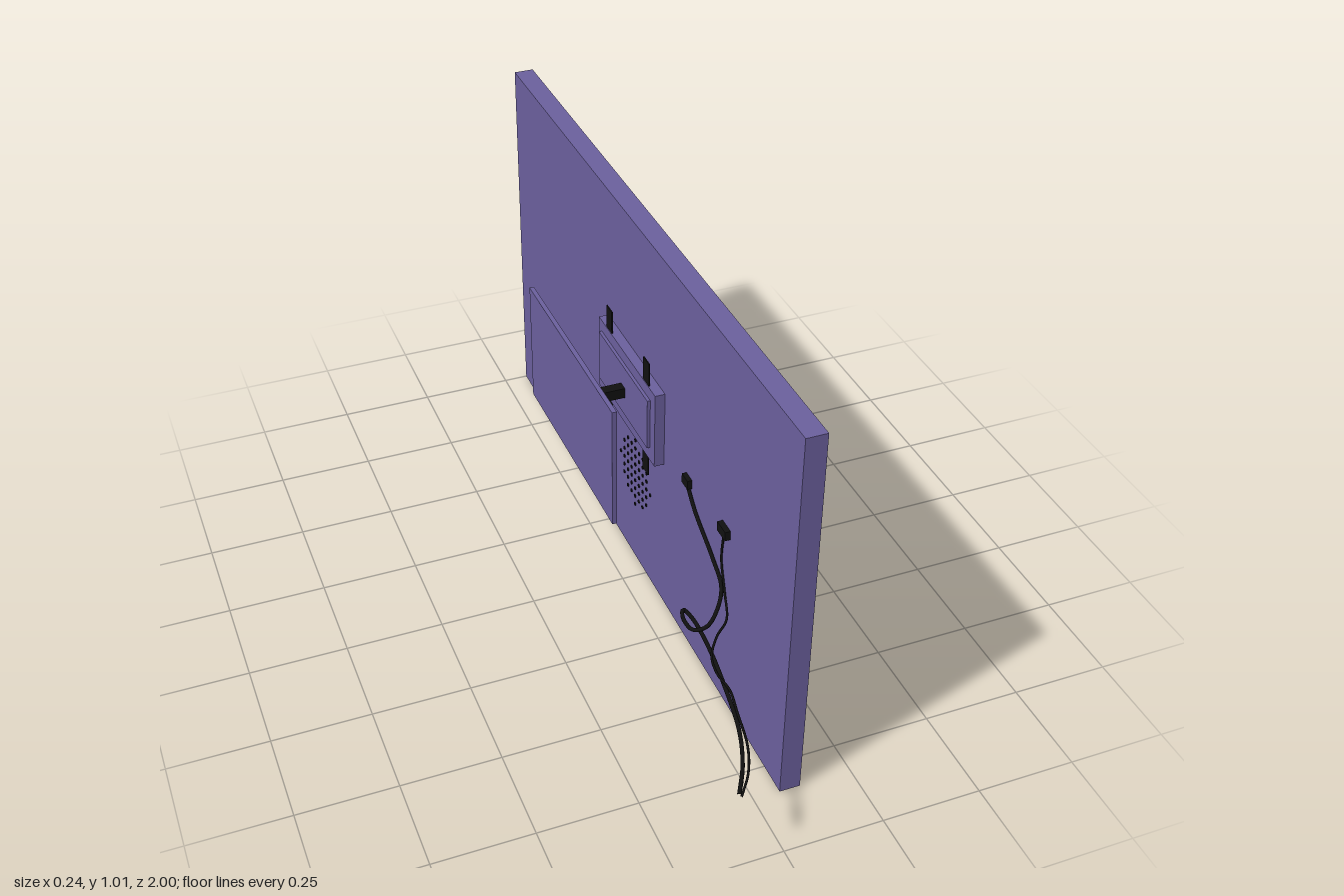
import * as THREE from 'three';

export function createModel() {
  const group = new THREE.Group();
  const purple = new THREE.MeshStandardMaterial({ color: 0x6a5f9c });
  const black = new THREE.MeshStandardMaterial({ color: 0x101010 });

  // Box given by its [min, max] extent along each axis
  function box(name, [x0, x1], [y0, y1], [z0, z1], material = purple) {
    const mesh = new THREE.Mesh(new THREE.BoxGeometry(x1 - x0, y1 - y0, z1 - z0), material);
    mesh.position.set((x0 + x1) / 2, (y0 + y1) / 2, (z0 + z1) / 2);
    mesh.name = name;
    group.add(mesh);
  }

  // Small disc lying against a plate, facing along x
  function stud(name, x, y, z, radius, depth, material = black) {
    const mesh = new THREE.Mesh(new THREE.CylinderGeometry(radius, radius, depth, 10), material);
    mesh.rotation.z = Math.PI / 2;
    mesh.position.set(x, y, z);
    mesh.name = name;
    group.add(mesh);
  }

  function cable(name, radius, points) {
    const curve = new THREE.CatmullRomCurve3(points.map(p => new THREE.Vector3(...p)));
    group.add(Object.assign(new THREE.Mesh(new THREE.TubeGeometry(curve, 120, radius, 8), black), { name }));
  }

  // Screen slab and the wall mount behind it
  box('screenPanel', [0.067, 0.119], [0, 1.015], [-1, 0.835]);
  box('mountHousing', [0.041, 0.067], [0.44, 0.652], [-0.275, 0.11]);
  box('mountPlate', [0.033, 0.041], [0.478, 0.62], [-0.255, 0.08]);
  box('mountArm', [-0.098, 0.033], [0.533, 0.561], [-0.098, -0.07], black);
  box('wallPlate', [-0.11, -0.098], [0.38, 0.712], [-0.38, 0.215]);

  // Four thin tabs standing above and below the housing
  for (const z of [-0.206, 0.046]) {
    box('upperTab', [0.0425, 0.0455], [0.63, 0.716], [z - 0.019, z + 0.019], black);
    box('lowerTab', [0.0425, 0.0455], [0.381, 0.46], [z - 0.019, z + 0.019], black);
  }

  // Screw heads on the inner side of the wall plate
  for (const y of [0.43, 0.69])
    for (const z of [-0.33, -0.08, 0.17]) stud('wallScrew', -0.097, y, z, 0.007, 0.003);

  // Round field of vent dots on the back of the screen
  const ventRadius = 0.105, pitch = 0.026;
  for (let i = -4; i <= 4; i++)
    for (let j = -4; j <= 4; j++)
      if (Math.hypot(i, j) * pitch <= ventRadius)
        stud('ventDot', 0.066, 0.28 + i * pitch, -0.08 + j * pitch, 0.005, 0.003);

  // Plugs and the loose cables
  box('powerPlug', [0.053, 0.067], [0.505, 0.53], [0.465, 0.51], black);
  box('signalPlug', [0.055, 0.067], [0.49, 0.515], [0.25, 0.285], black);

  const tail = [
    [0.04, 0.31, 0.515], [0, 0.29, 0.545], [-0.028, 0.276, 0.53], [-0.033, 0.273, 0.48],
    [-0.018, 0.268, 0.448], [-0.002, 0.25, 0.47], [0.005, 0.225, 0.55], [0, 0.2, 0.65],
    [-0.02, 0.186, 0.78], [-0.06, 0.195, 0.89], [-0.115, 0.218, 0.992],
  ];
  cable('signalCable', 0.005, [
    [0.06, 0.5, 0.27], [0.061, 0.45, 0.32], [0.061, 0.39, 0.43], [0.061, 0.345, 0.485], ...tail,
  ]);
  cable('powerCable', 0.003, [
    [0.06, 0.518, 0.49], [0.063, 0.42, 0.475], [0.063, 0.34, 0.5], [0.045, 0.305, 0.555],
    [0.01, 0.285, 0.58], [-0.015, 0.255, 0.61], [-0.012, 0.225, 0.64], [0.005, 0.2, 0.67],
    [-0.005, 0.191, 0.74], [-0.03, 0.2, 0.85], [-0.065, 0.207, 0.93], [-0.112, 0.216, 0.997],
  ]);

  return group;
}
